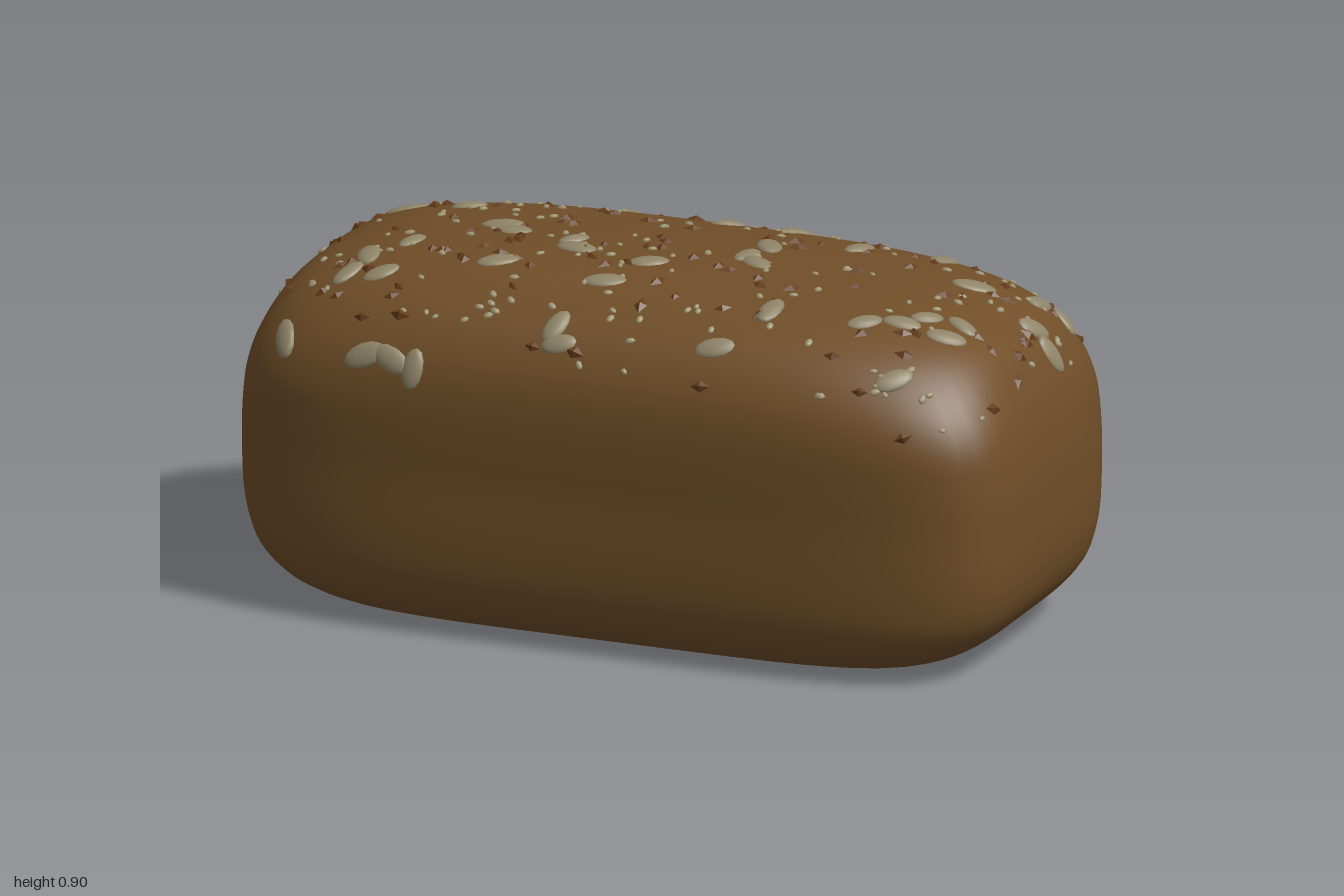
import * as THREE from 'three';
import { mergeGeometries } from 'three/addons/utils/BufferGeometryUtils.js';

// Loaf outline from base to crown: height, half length, half depth
const OUTLINE = [
  [0, 0, 0], [0, 0.35, 0.18], [0, 0.62, 0.31], [0.01, 0.73, 0.365], [0.03, 0.81, 0.41],
  [0.06, 0.875, 0.445], [0.1, 0.925, 0.47], [0.16, 0.968, 0.486], [0.25, 0.993, 0.493],
  [0.4, 1, 0.495], [0.5, 0.996, 0.499], [0.6, 0.982, 0.499], [0.68, 0.955, 0.485],
  [0.75, 0.915, 0.452], [0.8, 0.86, 0.408], [0.84, 0.76, 0.347], [0.866, 0.62, 0.28],
  [0.88, 0.43, 0.2], [0.889, 0.2, 0.1], [0.892, 0, 0],
];
const rows = new THREE.CatmullRomCurve3(OUTLINE.map(([y, a, b]) => new THREE.Vector3(a, y, b)), false, 'centripetal')
  .getPoints(76);
rows.forEach((r) => { r.y = Math.max(0, r.y); });

// Plan roundness: boxy at the sides, softer over the crown
const squareness = (y) => 5 - 1.8 * THREE.MathUtils.smoothstep(y, 0.55, 0.89);

function loafGeometry() {
  const SEG = 96, pos = [], index = [], last = rows.length - 1;
  rows.forEach((r) => {
    const n = squareness(r.y);
    for (let j = 0; j < SEG; j++) {
      const t = (j / SEG) * Math.PI * 2, c = Math.cos(t), s = Math.sin(t);
      const k = Math.pow(Math.abs(c) ** n + Math.abs(s) ** n, -1 / n);
      pos.push(r.x * k * c, r.y, r.z * k * s);
    }
  });
  for (let i = 0; i < last; i++) {
    for (let j = 0; j < SEG; j++) {
      const p = i * SEG + j, q = i * SEG + ((j + 1) % SEG);
      if (i < last - 1) index.push(p, p + SEG, q + SEG);
      if (i > 0) index.push(p, q + SEG, q);
    }
  }
  const g = new THREE.BufferGeometry();
  g.setAttribute('position', new THREE.Float32BufferAttribute(pos, 3));
  g.setIndex(index);
  g.computeVertexNormals();
  return g;
}

// Negative inside the loaf, positive outside
function field(p) {
  if (p.y < 0 || p.y >= 0.892) return 1;
  let i = 1;
  while (i < rows.length - 1 && rows[i].y <= p.y) i++;
  const lo = rows[i - 1], hi = rows[i];
  const t = (p.y - lo.y) / Math.max(1e-6, hi.y - lo.y);
  const a = Math.max(1e-4, THREE.MathUtils.lerp(lo.x, hi.x, t));
  const b = Math.max(1e-4, THREE.MathUtils.lerp(lo.z, hi.z, t));
  const n = squareness(p.y);
  return Math.abs(p.x / a) ** n + Math.abs(p.z / b) ** n - 1;
}

// Surface point reached from an inner point along a direction
function project(start, dir) {
  let lo = 0, hi = 1.2;
  const p = new THREE.Vector3();
  for (let i = 0; i < 24; i++) {
    const mid = (lo + hi) / 2;
    if (field(p.copy(start).addScaledVector(dir, mid)) < 0) lo = mid; else hi = mid;
  }
  return p.copy(start).addScaledVector(dir, lo);
}

const UP = new THREE.Vector3(0, 1, 0);
const FRONT = new THREE.Vector3(0, 0, 1);
const END = new THREE.Vector3(1, 0, 0);

// Normal from two neighbouring surface points
function surfaceNormal(start, dir) {
  const u = new THREE.Vector3(dir.y, dir.z, dir.x), v = new THREE.Vector3().crossVectors(dir, u);
  const e = 0.008;
  const at = (w, k) => project(start.clone().addScaledVector(w, k), dir);
  const du = at(u, e).sub(at(u, -e)), dv = at(v, e).sub(at(v, -e));
  return du.cross(dv).normalize();
}

// Lay a seed flat on the crust, long axis turned by an angle in degrees
function placeSeed(base, start, dir, degrees, size, sink = 0) {
  const p = project(start, dir), n = surfaceNormal(start, dir);
  const a = THREE.MathUtils.degToRad(degrees);
  const long = dir === UP ? new THREE.Vector3(Math.cos(a), 0, -Math.sin(a))
    : dir === FRONT ? new THREE.Vector3(Math.cos(a), Math.sin(a), 0)
      : new THREE.Vector3(0, Math.sin(a), -Math.cos(a));
  long.addScaledVector(n, -long.dot(n)).normalize();
  const side = new THREE.Vector3().crossVectors(long, n);
  const m = new THREE.Matrix4().makeBasis(long, n, side).scale(new THREE.Vector3(...size));
  m.setPosition(p.addScaledVector(n, -sink));
  return base.clone().applyMatrix4(m);
}

// Large seeds on the crown: x, z, angle
const CROWN = [
  [-0.8, -0.36, -45], [-0.78, -0.24, 20], [-0.93, -0.14, -60], [-0.6, -0.19, 25], [-0.64, -0.37, 30],
  [-0.26, -0.36, -35], [-0.05, -0.42, 20], [0.03, -0.28, 35], [0.19, -0.31, 30], [0.2, -0.37, 15],
  [0.4, -0.2, 70], [0.59, -0.27, 85], [0.63, -0.41, -70], [0.21, -0.1, -60], [0.19, -0.01, 80],
  [0.23, 0.03, -35], [0.73, -0.12, 25], [-0.45, -0.04, 10], [-0.41, 0, 0], [-0.24, 0.03, 50],
  [-0.21, 0.085, -10], [-0.01, 0.12, 25], [-0.36, 0.21, 30], [-0.62, 0.12, 70], [-0.7, 0.2, -70],
  [-0.72, 0.28, 60], [0.37, 0.28, 85], [0.72, 0.15, 40], [0.79, 0.2, 20], [0.68, 0.21, 10],
  [-0.13, 0.41, 75], [-0.63, 0.29, 35], [-0.07, 0.25, 15], [0.8, 0.12, -20], [0.6, 0.25, 45],
  [0.85, -0.42, -50],
];
// Large seeds on the front: x, y, angle
const FACE = [[-0.83, 0.68, -60], [-0.6, 0.685, 25], [-0.53, 0.685, -25], [-0.47, 0.67, 85],
  [-0.11, 0.765, 20], [0.28, 0.795, 25], [0.73, 0.76, 45]];
// Large seeds on the end: z, y, angle
const TIP = [[-0.09, 0.77, -50], [-0.095, 0.71, -75], [-0.28, 0.73, 70], [-0.23, 0.785, -30], [-0.41, 0.655, 10]];

function makeRandom(seed) {
  return () => {
    seed = (seed * 1664525 + 1013904223) % 4294967296;
    return seed / 4294967296;
  };
}

export function createModel() {
  const crust = new THREE.MeshStandardMaterial({ color: 0x704e28 });
  crust.name = 'crust brown';
  const pale = new THREE.MeshStandardMaterial({ color: 0x8f8468 });
  pale.name = 'pumpkin seed grey';
  const dark = new THREE.MeshStandardMaterial({ color: 0x633c1a });
  dark.name = 'flax brown';
  const cream = new THREE.MeshStandardMaterial({ color: 0xa09674 });
  cream.name = 'sesame cream';

  const group = new THREE.Group();
  group.name = 'seededLoaf';
  const add = (name, geometry, material) => {
    const mesh = new THREE.Mesh(geometry, material);
    mesh.name = name;
    group.add(mesh);
  };
  add('loaf', loafGeometry(), crust);

  const random = makeRandom(41);
  const oval = new THREE.SphereGeometry(1, 12, 8);
  const diamond = new THREE.OctahedronGeometry(1, 0);
  const grain = new THREE.SphereGeometry(1, 6, 4);

  // Large oval seeds
  const bigSize = () => { const s = 0.85 + random() * 0.3; return [0.05 * s, 0.014, 0.028 * s]; };
  const large = [
    ...CROWN.map(([x, z, a]) => placeSeed(oval, new THREE.Vector3(x, 0.4, z), UP, a, bigSize(), 0.003)),
    ...FACE.map(([x, y, a]) => placeSeed(oval, new THREE.Vector3(x, y, 0), FRONT, a, bigSize(), 0.003)),
    ...TIP.map(([z, y, a]) => placeSeed(oval, new THREE.Vector3(0.3, y, z), END, a, bigSize(), 0.003)),
  ];
  add('largeSeeds', mergeGeometries(large), pale);

  // Small seeds scattered over the crown
  const scatter = (base, count, size) => {
    const list = [];
    while (list.length < count) {
      const start = new THREE.Vector3((random() * 2 - 1) * 0.96, 0.4, (random() * 2 - 1) * 0.475);
      if (field(start) > -0.05 || project(start, UP).y < 0.64) continue;
      const s = 0.8 + random() * 0.4;
      list.push(placeSeed(base, start, UP, random() * 360, size.map((k) => k * s)));
    }
    return mergeGeometries(list);
  };
  add('flaxSeeds', scatter(diamond, 130, [0.024, 0.01, 0.014]), dark);
  add('sesameSeeds', scatter(grain, 190, [0.012, 0.006, 0.008]), cream);
  return group;
}
